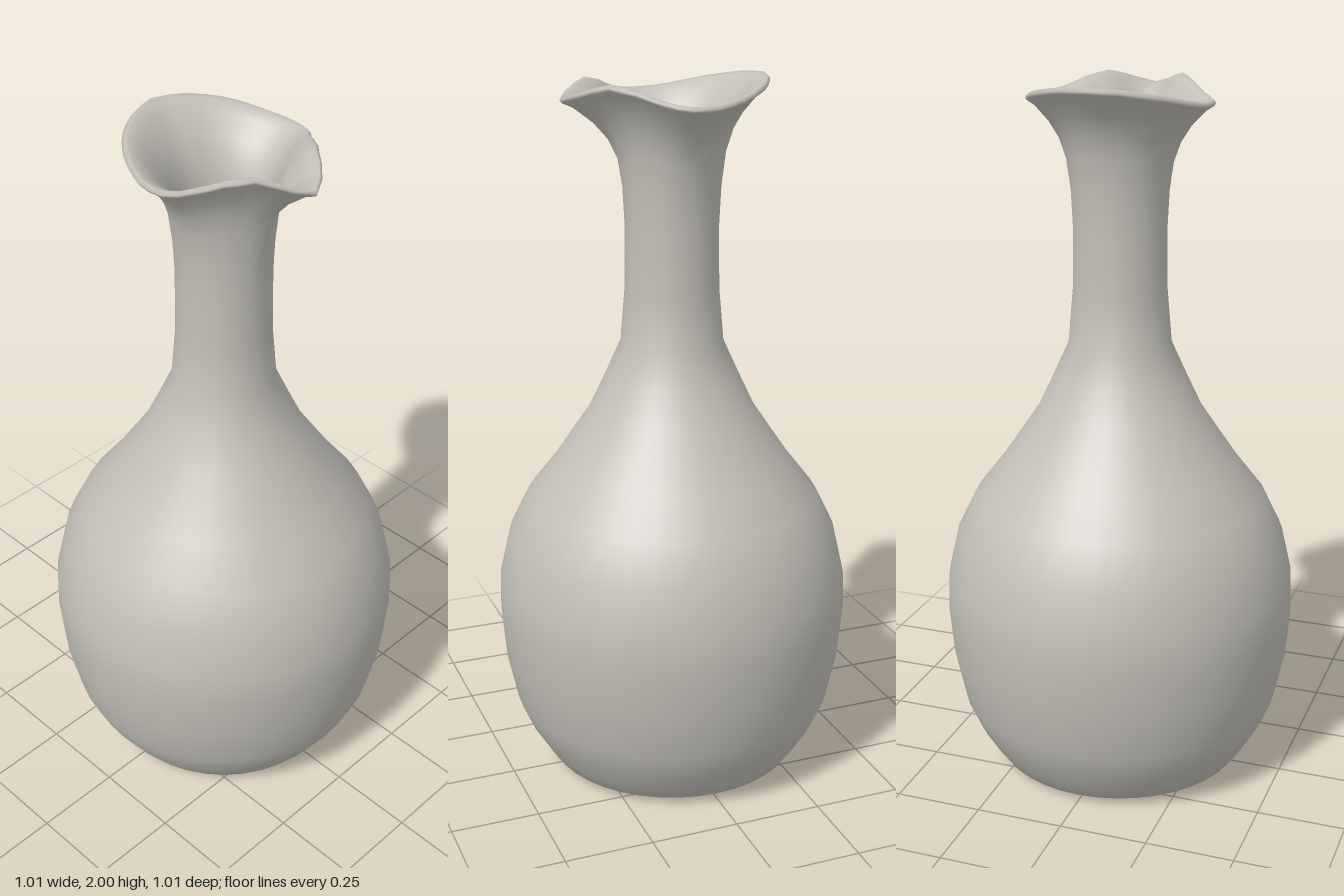
import * as THREE from 'three';

const SEGMENTS = 40;

// Lip outline by angle from the spout in degrees: [angle, radius, height]
const LIP = [
  [0, 0.315, 1.95], [10, 0.29, 1.965], [25, 0.246, 1.99], [45, 0.228, 1.975],
  [61, 0.23, 1.955], [78, 0.258, 1.94], [95, 0.26, 1.94], [111, 0.253, 1.95],
  [135, 0.255, 1.972], [160, 0.262, 1.99], [180, 0.275, 1.995],
];

function lipAt(angle) {
  const deg = Math.abs(THREE.MathUtils.radToDeg(angle > Math.PI ? angle - 2 * Math.PI : angle));
  let i = 0;
  while (i < LIP.length - 2 && deg > LIP[i + 1][0]) i++;
  const [a, b] = [LIP[i], LIP[i + 1]];
  const t = (deg - a[0]) / (b[0] - a[0]);
  return { r: THREE.MathUtils.lerp(a[1], b[1], t), y: THREE.MathUtils.lerp(a[2], b[2], t) };
}

// Round rings of the body: [radius, height]
const OUTER = [
  [0, 0.006], [0.29, 0.004], [0.325, 0], [0.362, 0.02], [0.39, 0.06], [0.43, 0.125], [0.463, 0.2],
  [0.493, 0.34], [0.505, 0.48], [0.502, 0.58], [0.472, 0.71], [0.418, 0.82], [0.34, 0.92],
  [0.235, 1.075], [0.19, 1.17], [0.145, 1.27], [0.132, 1.42], [0.13, 1.6],
];
const INNER = [
  [0.106, 1.6], [0.106, 1.42], [0.12, 1.27], [0.21, 1.075], [0.315, 0.92], [0.393, 0.82],
  [0.447, 0.71], [0.478, 0.55], [0.468, 0.34], [0.438, 0.2], [0.365, 0.06], [0.31, 0.03], [0, 0.03],
];
// Flare from the neck to the lip: [share of radius, share of height]
const FLARE = [[0.04, 0.28], [0.13, 0.52], [0.28, 0.68], [0.5, 0.81], [0.8, 0.93], [0.97, 0.97]];

function vaseGeometry() {
  const flare = (neck, lift) => ([wr, wy]) => (angle) => {
    const lip = lipAt(angle);
    return [neck + (lip.r - 0.13 + 0.13 - neck) * wr, 1.6 + (lip.y - 1.6) * wy + lift * wr];
  };
  const round = (p) => () => p;
  const rings = [
    ...OUTER.map(round),
    ...FLARE.map(flare(0.13, 0)),
    // rounded edge of the lip
    (angle) => { const l = lipAt(angle); return [l.r, l.y - 0.003]; },
    (angle) => { const l = lipAt(angle); return [l.r - 0.008, l.y + 0.005]; },
    (angle) => { const l = lipAt(angle); return [l.r - 0.022, l.y]; },
    // inside of the flare
    ...FLARE.slice(0, 5).reverse().map(([wr, wy]) => (angle) => {
      const l = lipAt(angle);
      return [0.106 + (l.r - 0.13) * wr, 1.6 + (l.y - 1.6) * wy + 0.012 * wr];
    }),
    ...INNER.map(round),
  ];

  const positions = [];
  const index = [];
  rings.forEach((ring, i) => {
    for (let j = 0; j < SEGMENTS; j++) {
      const angle = (j / SEGMENTS) * Math.PI * 2;
      const [r, y] = ring(angle);
      positions.push(Math.sin(angle) * r, y, Math.cos(angle) * r);
      if (i === rings.length - 1) continue;
      const k = (j + 1) % SEGMENTS;
      const a = i * SEGMENTS + j, b = i * SEGMENTS + k;
      const c = a + SEGMENTS, d = b + SEGMENTS;
      index.push(a, b, d, a, d, c);
    }
  });
  const geometry = new THREE.BufferGeometry();
  geometry.setAttribute('position', new THREE.Float32BufferAttribute(positions, 3));
  geometry.setIndex(index);
  geometry.computeVertexNormals();
  return geometry;
}

export function createModel() {
  const group = new THREE.Group();
  group.name = 'vase';
  const ceramic = new THREE.MeshStandardMaterial({ color: 0xc2bfb7 });
  ceramic.name = 'pale grey ceramic';
  const body = new THREE.Mesh(vaseGeometry(), ceramic);
  body.name = 'vaseBody';
  group.add(body);
  return group;
}
